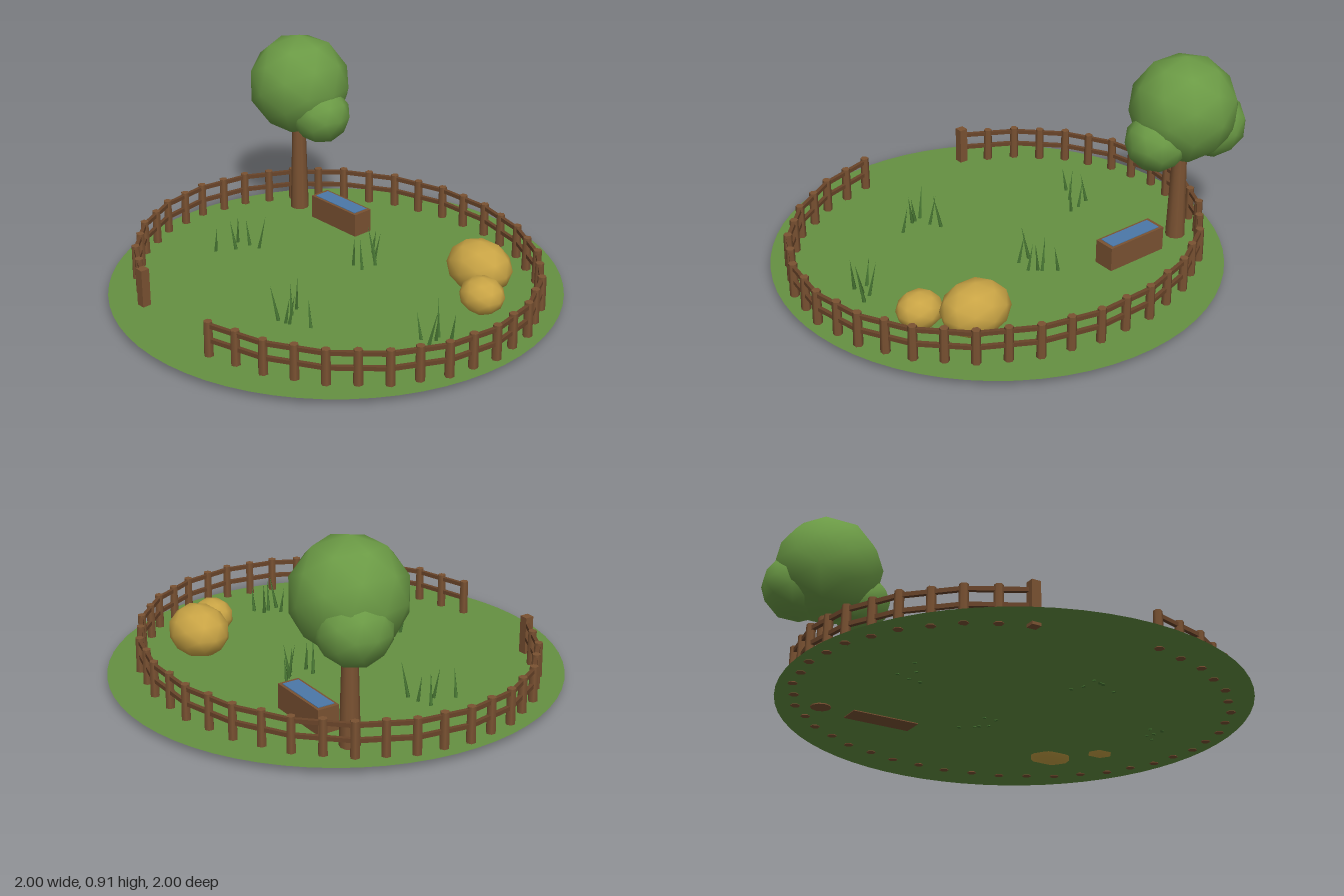
import * as THREE from 'three';

const mat = (name, color, extra = {}) => Object.assign(new THREE.MeshStandardMaterial({ color, ...extra }), { name });

export function createModel() {
  const group = new THREE.Group();
  const meadow = mat('meadow green', 0x659142, { side: THREE.DoubleSide });
  const leaf = mat('leaf green', 0x6b9a45);
  const blade = mat('grass blade green', 0x4a7a35);
  const straw = mat('straw yellow', 0xc9a445);
  const wood = mat('wood brown', 0x7a5232);
  const railWood = mat('rail brown', 0x694429);
  const water = mat('water blue', 0x4b78a8);
  const GROUND = 0.035;

  const add = (name, geometry, material, x, y, z, parent = group) => {
    const mesh = new THREE.Mesh(geometry, material);
    mesh.name = name;
    mesh.position.set(x, y, z);
    parent.add(mesh);
    return mesh;
  };
  const subgroup = (name) => {
    const g = new THREE.Group();
    g.name = name;
    group.add(g);
    return g;
  };

  // Round flat meadow
  add('meadow', new THREE.CircleGeometry(1, 64).rotateX(-Math.PI / 2), meadow, 0, GROUND, 0);

  // Fence: posts on an oval with a middle post on each straight run, open at the front
  const fence = subgroup('fence');
  const SEGMENTS = 20;
  const start = THREE.MathUtils.degToRad(81);
  const sweep = THREE.MathUtils.degToRad(327.3);
  const corner = (i) => {
    const a = start - (sweep * i) / SEGMENTS;
    return new THREE.Vector3(0.945 * Math.cos(a), 0, 0.835 * Math.sin(a));
  };
  const postGeometry = new THREE.CylinderGeometry(0.019, 0.021, 0.16, 6);
  const post = (p) => add('fencePost', postGeometry, wood, p.x, 0.112, p.z, fence);
  for (let i = 0; i < SEGMENTS; i++) {
    const a = corner(i), b = corner(i + 1);
    const mid = a.clone().add(b).multiplyScalar(0.5);
    post(a);
    post(mid);
    for (const y of [0.108, 0.173]) {
      const rail = add('fenceRail', new THREE.BoxGeometry(a.distanceTo(b), 0.018, 0.017), railWood, mid.x, y, mid.z, fence);
      rail.rotation.y = -Math.atan2(b.z - a.z, b.x - a.x);
    }
  }
  const end = corner(SEGMENTS);
  add('gatePost', new THREE.BoxGeometry(0.04, 0.185, 0.04), wood, end.x, 0.115, end.z, fence);

  // Tree with three leafy clumps
  const tree = subgroup('tree');
  add('trunk', new THREE.CylinderGeometry(0.03, 0.044, 0.5, 10), wood, -0.705, 0.28, -0.4, tree);
  const clump = new THREE.IcosahedronGeometry(1, 1);
  const blob = (name, material, parent, [x, y, z], [rx, ry, rz]) =>
    add(name, clump, material, x, y, z, parent).scale.set(rx, ry, rz);
  blob('crown', leaf, tree, [-0.705, 0.67, -0.405], [0.243, 0.24, 0.24]);
  blob('leftClump', leaf, tree, [-0.555, 0.555, -0.405], [0.142, 0.135, 0.14]);
  blob('rightClump', leaf, tree, [-0.82, 0.585, -0.46], [0.157, 0.152, 0.157]);

  // Hay mounds
  const hay = subgroup('hay');
  blob('largeHayMound', straw, hay, [0.455, 0.125, -0.435], [0.157, 0.12, 0.131]);
  blob('smallHayMound', straw, hay, [0.62, 0.103, -0.275], [0.102, 0.083, 0.094]);

  // Water trough
  const trough = subgroup('trough');
  add('troughBody', new THREE.BoxGeometry(0.305, 0.115, 0.1), wood, -0.417, 0.0885, -0.41, trough);
  add('troughWater', new THREE.BoxGeometry(0.27, 0.004, 0.076), water, -0.417, 0.147, -0.41, trough);

  // Leaning grass blades in four tufts
  const tufts = [
    [[-0.08, -0.31], [-0.05, -0.27], [-0.01, -0.255], [0, -0.23], [-0.04, -0.155], [-0.01, -0.155]],
    [[-0.58, 0.08], [-0.54, 0.06], [-0.46, 0.05], [-0.55, 0.135], [-0.575, 0.215]],
    [[0.1, 0.305], [0.1, 0.355], [0.16, 0.42], [0.1, 0.43], [0.18, 0.415], [0.24, 0.37]],
    [[0.72, 0], [0.65, 0.03], [0.69, 0.06], [0.62, 0.1], [0.7, 0.11]],
  ];
  tufts.forEach((tuft, t) => {
    const g = subgroup('grassTuft');
    tuft.forEach(([x, z], i) => {
      const h = 0.13 + 0.02 * ((i * 2 + t) % 3);
      const cone = new THREE.ConeGeometry(0.01, h, 4).translate(0, h / 2, 0);
      const lean = i % 2 ? 0.17 : -0.17;
      const b = add('grassBlade', cone, blade, x + lean * h / 2, GROUND - 0.003, z, g);
      b.rotation.set(0.12 * Math.sin(i * 2 + t), 0, lean);
    });
  });

  return group;
}
